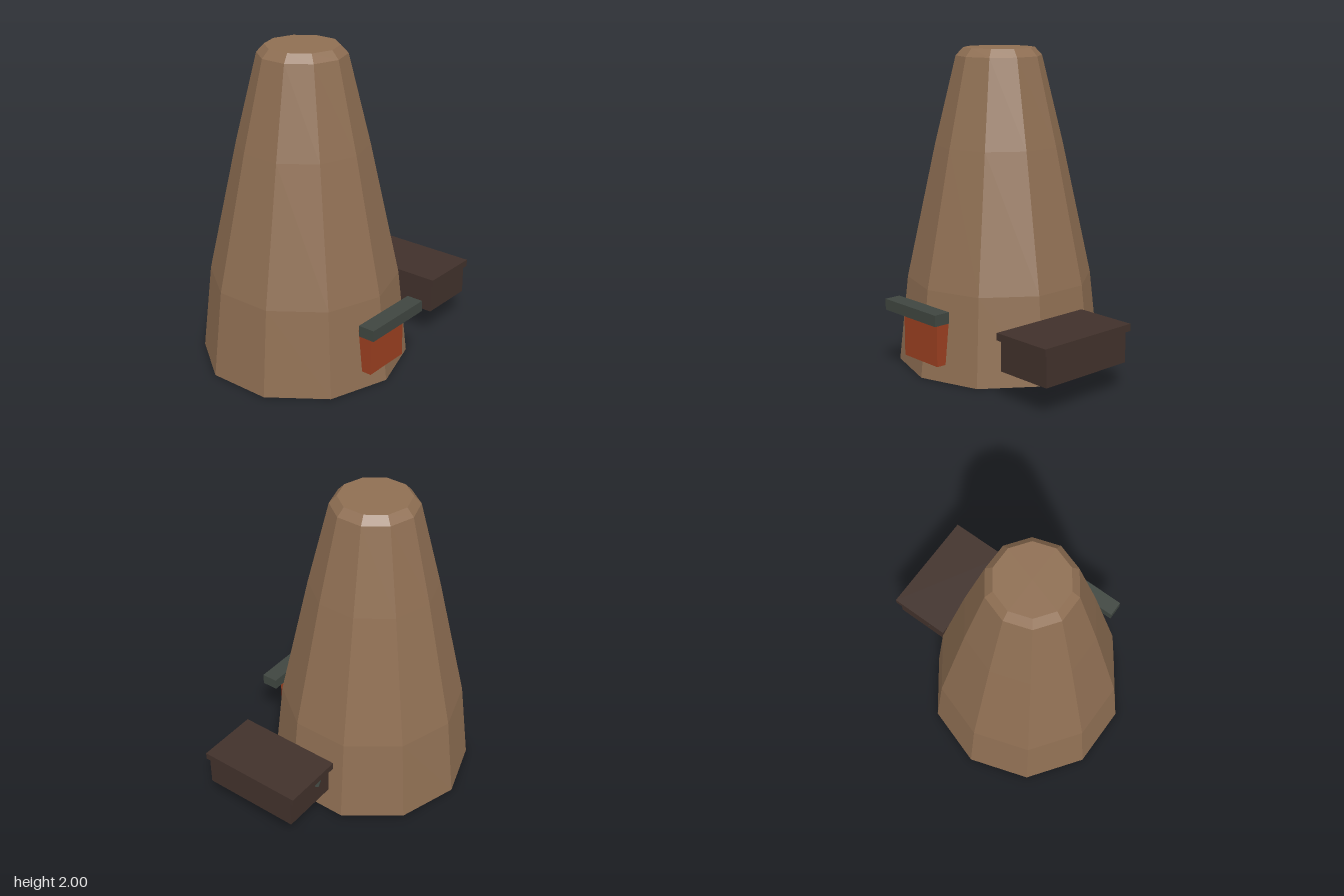
import * as THREE from 'three';

const mat = (name, color) => {
  const m = new THREE.MeshStandardMaterial({ color, flatShading: true });
  m.name = name;
  return m;
};

export function createModel() {
  const group = new THREE.Group();
  const clay = mat('clay brown', 0x8f6f53);
  const rust = mat('rust red', 0x9a3f20);
  const slate = mat('slate grey', 0x3f4640);
  const darkWood = mat('dark wood', 0x41312b);

  const add = (name, geometry, material) => {
    const mesh = new THREE.Mesh(geometry, material);
    mesh.name = name;
    group.add(mesh);
    return mesh;
  };
  // Box given by its lower and upper corners
  const box = (name, material, lo, hi) => {
    const size = hi.map((v, i) => v - lo[i]);
    add(name, new THREE.BoxGeometry(...size), material)
      .position.set(...hi.map((v, i) => (v + lo[i]) / 2));
  };

  // Ten-sided tapering tower with a chamfered rim and closed ends
  const profile = [[0, 0], [0.65, 0], [0.59, 0.55], [0.405, 1.4], [0.27, 1.95], [0.224, 2], [0, 2]]
    .map(([r, y]) => new THREE.Vector2(r, y));
  add('tower', new THREE.LatheGeometry(profile, 10), clay).position.set(-0.2, 0, -0.04);

  // Front hatch and the ledge above it
  box('hatch', rust, [-0.36, 0.11, 0.45], [-0.04, 0.38, 0.61]);
  box('ledge', slate, [-0.445, 0.4, 0.583], [0.045, 0.47, 0.69]);

  // Side chest with an overhanging lid
  box('chest', darkWood, [0.42, 0.18, -0.145], [0.8, 0.37, 0.505]);
  box('chestLid', darkWood, [0.407, 0.37, -0.175], [0.81, 0.415, 0.525]);

  // Thin pipe from the tower through the chest
  const from = new THREE.Vector3(0.3, 0.277, -0.038);
  const to = new THREE.Vector3(0.55, 0.325, -0.155);
  const pipe = add('pipe', new THREE.CylinderGeometry(0.015, 0.015, from.distanceTo(to), 8), slate);
  pipe.position.copy(from).lerp(to, 0.5);
  pipe.quaternion.setFromUnitVectors(new THREE.Vector3(0, 1, 0), to.clone().sub(from).normalize());

  return group;
}
